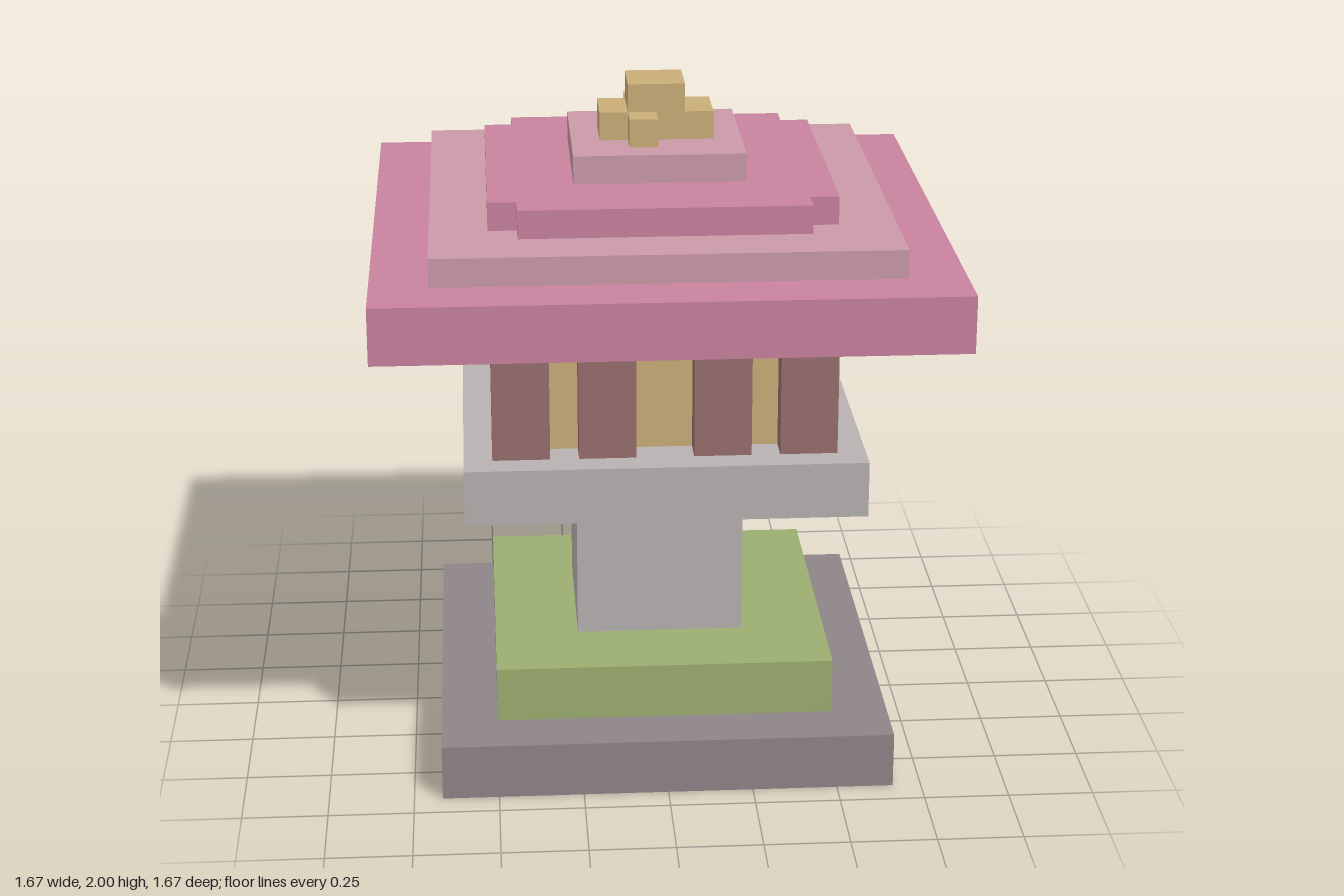
import * as THREE from 'three';

const U = 1 / 12; // the lantern is laid out on a grid of 24 units in height

const paint = (name, color) => {
  const m = new THREE.MeshStandardMaterial({ color });
  m.name = name;
  return m;
};

export function createModel() {
  const darkStone = paint('dark stone', 0x8e8488);
  const stone = paint('pale stone', 0xb7b2b1);
  const moss = paint('moss green', 0x9bae70);
  const wood = paint('brown wood', 0x966e6d);
  const gold = paint('lamp gold', 0xc8ae78);
  const rose = paint('rose roof', 0xc9829f);
  const blush = paint('blush roof', 0xca9aa8);

  const model = new THREE.Group();
  model.name = 'stoneLantern';

  // Box given by its extents in grid units
  const box = (name, mat, [x0, x1], [y0, y1], [z0, z1], parent = model) => {
    const mesh = new THREE.Mesh(
      new THREE.BoxGeometry((x1 - x0) * U, (y1 - y0) * U, (z1 - z0) * U), mat);
    mesh.position.set((x0 + x1) * U / 2, (y0 + y1) * U / 2, (z0 + z1) * U / 2);
    mesh.name = name;
    parent.add(mesh);
  };
  const slab = (name, mat, half, y0, y1) =>
    box(name, mat, [-half, half], [y0, y1], [-half, half]);

  // Foot, shaft and platform
  slab('base', darkStone, 8, 0, 2);
  slab('mossStep', moss, 6, 2, 4);
  slab('shaft', stone, 3, 4, 10);
  slab('platform', stone, 7, 10, 12);

  // Lamp chamber with corner posts, and two extra posts on front and back
  slab('lampChamber', gold, 5, 12, 17);
  const posts = new THREE.Group();
  posts.name = 'posts';
  model.add(posts);
  for (const sz of [-1, 1]) {
    for (const sx of [-1, 1]) {
      const span = (a, b, s) => (s > 0 ? [a, b] : [-b, -a]);
      box('cornerPost', wood, span(4, 6, sx), [12, 17], span(4, 6, sz), posts);
      box('innerPost', wood, span(1, 3, sx), [12, 17], span(5, 6, sz), posts);
    }
  }

  // Stepped roof
  slab('eaves', rose, 10, 17, 19);
  slab('lowerRoofTier', blush, 8, 19, 20);

  // Tier with notched corners
  const outline = [[6, 5], [5, 5], [5, 6], [-5, 6], [-5, 5], [-6, 5],
    [-6, -5], [-5, -5], [-5, -6], [5, -6], [5, -5], [6, -5]];
  const notched = new THREE.Shape(outline.map(([x, y]) => new THREE.Vector2(x * U, y * U)));
  const tier = new THREE.Mesh(
    new THREE.ExtrudeGeometry(notched, { depth: U, bevelEnabled: false }).rotateX(-Math.PI / 2), rose);
  tier.position.y = 20 * U;
  tier.name = 'notchedRoofTier';
  model.add(tier);

  slab('upperRoofTier', blush, 3, 21, 22);

  // Finial: a central block with four low arms
  const finial = new THREE.Group();
  finial.name = 'finial';
  model.add(finial);
  box('finialBlock', gold, [-1, 1], [22, 24], [-1, 1], finial);
  box('finialArm', gold, [1, 2], [22, 23], [-1, 1], finial);
  box('finialArm', gold, [-2, -1], [22, 23], [-1, 1], finial);
  box('finialArm', gold, [-1, 0], [22, 23], [1, 2], finial);
  box('finialArm', gold, [-1, 0], [22, 23], [-2, -1], finial);

  return model;
}
